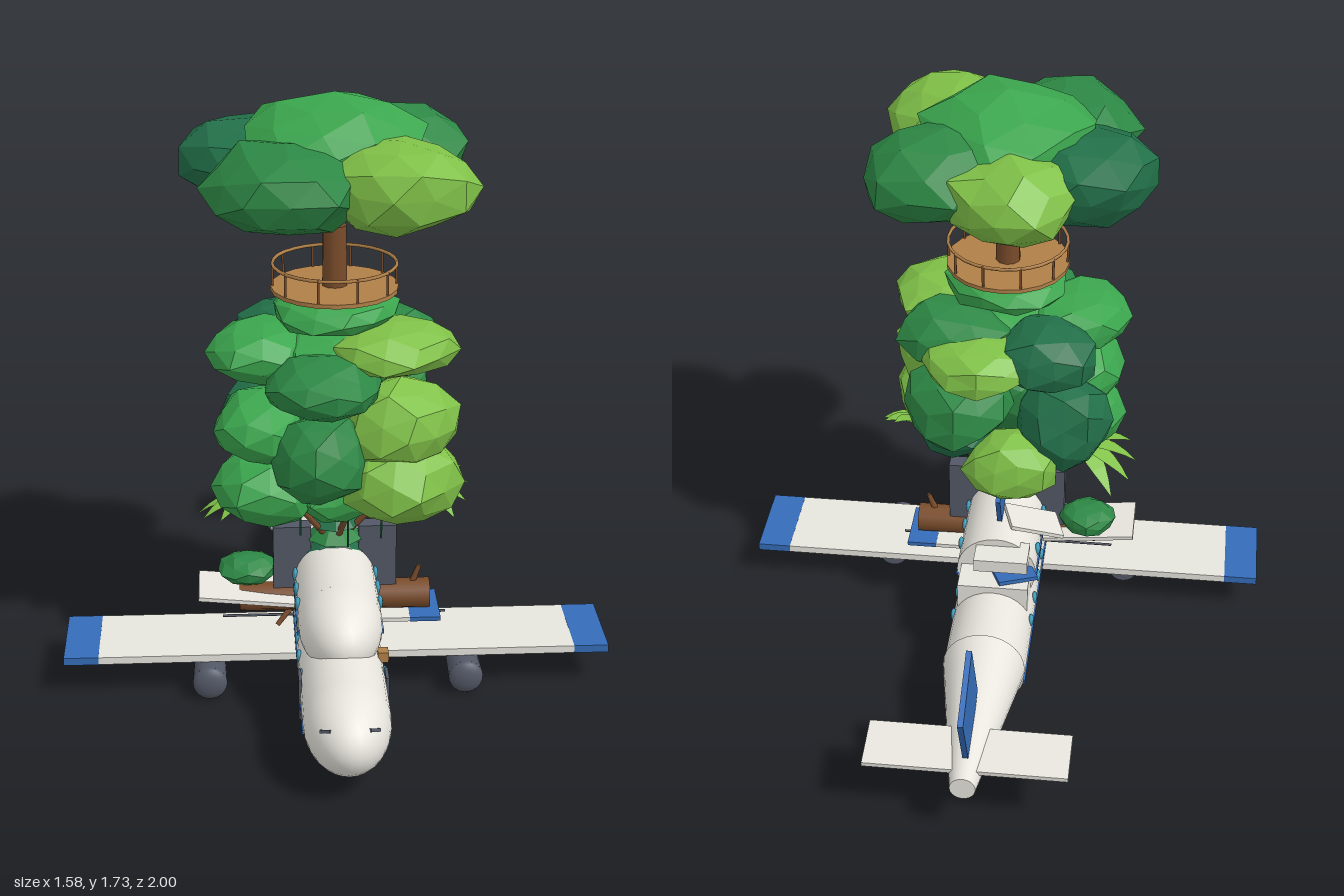
import * as THREE from 'three';

const mat = (name, color, opts = {}) => {
  const m = new THREE.MeshStandardMaterial({ color, ...opts });
  m.name = name;
  return m;
};

export function createModel() {
  const root = new THREE.Group();
  root.name = 'treehousePlane';
  const M = {
    hull: mat('hullWhite', 0xe8e6de, { side: THREE.DoubleSide }),
    blue: mat('liveryBlue', 0x356cb8),
    dark: mat('darkMetal', 0x535866),
    glass: mat('windowTeal', 0x3d9ab8),
    wood: mat('barkBrown', 0x7a4c2b),
    plank: mat('plankTan', 0xb07f48),
    light: mat('leafLight', 0x80c148, { flatShading: true, side: THREE.DoubleSide }),
    mid: mat('leafMid', 0x3ba64e, { flatShading: true }),
    green: mat('leafDark', 0x2d8845, { flatShading: true }),
    deep: mat('leafDeep', 0x227049, { flatShading: true }),
  };
  const add = (name, geo, material, pos = [0, 0, 0], rot = [0, 0, 0], scale = [1, 1, 1]) => {
    const m = new THREE.Mesh(geo, material);
    m.name = name;
    m.position.set(...pos);
    m.rotation.set(...rot);
    m.scale.set(...scale);
    root.add(m);
    return m;
  };
  const box = (name, size, material, pos, rot) => add(name, new THREE.BoxGeometry(...size), material, pos, rot);
  // Cylinder between two points
  const rod = (name, a, b, r0, r1, material, sides = 8, open = false) => {
    const A = new THREE.Vector3(...a), B = new THREE.Vector3(...b), d = B.clone().sub(A);
    const m = add(name, new THREE.CylinderGeometry(r1, r0, d.length(), sides, 1, open), material);
    m.position.copy(A).add(B).multiplyScalar(0.5);
    m.quaternion.setFromUnitVectors(new THREE.Vector3(0, 1, 0), d.normalize());
    return m;
  };
  const half = Math.PI / 2;

  // Fuselage, nose and tail cone
  rod('fuselage', [0, 0.16, -0.47], [0, 0.16, 0.8], 0.12, 0.12, M.hull, 28, true);
  add('nose', new THREE.SphereGeometry(1, 28, 18), M.hull, [0, 0.16, 0.8], [0, 0, 0], [0.12, 0.12, 0.2]);
  rod('tailCone', [0, 0.18, -0.47], [0, 0.18, -0.97], 0.12, 0.036, M.hull, 28);

  // Upper deck: straight body with a rounded front, sunk into the fuselage
  rod('upperDeck', [0, 0.28, -0.15], [0, 0.28, 0.47], 0.119, 0.119, M.hull, 28);
  add('upperDeckFront', new THREE.SphereGeometry(1, 28, 18), M.hull, [0, 0.28, 0.47], [0, 0, 0], [0.119, 0.119, 0.2]);
  box('deckRear', [0.21, 0.08, 0.15], M.hull, [0, 0.26, -0.18]);

  // Wings with painted tips, engines, side fittings
  for (const s of [1, -1]) {
    box('wing', [0.61, 0.022, 0.26], M.hull, [s * 0.385, 0.115, 0.22]);
    box('wingTip', [0.1, 0.023, 0.261], M.blue, [s * 0.74, 0.115, 0.22]);
    rod('engine', [s * 0.37, 0.06, 0.17], [s * 0.37, 0.055, 0.385], 0.043, 0.05, M.dark, 20);
    add('engineFront', new THREE.SphereGeometry(0.05, 20, 12), M.dark, [s * 0.37, 0.055, 0.385], [0, 0, 0], [1, 1, 0.5]);
    box('lowerStripe', [0.006, 0.012, 1.27], M.blue, [s * 0.118, 0.13, 0.165]);
    box('upperStripe', [0.008, 0.012, 0.64], M.blue, [s * 0.118, 0.263, 0.17]);
    box('door', [0.009, 0.12, 0.065], M.dark, [s * 0.12, 0.15, 0.63]);
    for (let i = 0; i < 9; i++)
      add('lowerWindow', new THREE.SphereGeometry(0.018, 12, 8), M.glass, [s * 0.117, 0.19, 0.59 - i * 0.106], [0, 0, 0], [0.45, 1, 1]);
    for (let i = 0; i < 6; i++)
      add('upperWindow', new THREE.SphereGeometry(0.019, 12, 8), M.glass, [s * 0.117, 0.31, 0.4 - i * 0.093], [0, 0, 0], [0.45, 1.1, 0.95]);
    box('cockpitWindow', [0.035, 0.009, 0.008], M.dark, [s * 0.065, 0.214, 0.94], [-0.5, s * 0.75, 0]);
    box('bellySlot', [0.008, 0.008, 0.3], M.dark, [s * 0.05, 0.05, 0.2]);
  }
  box('sideCrate', [0.03, 0.03, 0.035], M.plank, [0.115, 0.222, 0.55]);

  // Tail surfaces
  box('tailplane', [0.57, 0.014, 0.155], M.hull, [0, 0.208, -0.85], [-0.1, 0, 0]);
  box('tailFin', [0.016, 0.27, 0.22], M.blue, [0, 0.355, -0.838], [-0.44, 0, 0]);
  box('spareFin', [0.014, 0.15, 0.17], M.blue, [0, 0.475, 0], [-0.44, 0, 0]);

  // Salvaged panels leaning on the hull
  for (const s of [1, -1]) box('darkPanel', [0.11, 0.25, 0.05], M.dark, [s * 0.125, 0.325, 0.165]);
  box('sidePanel', [0.28, 0.012, 0.18], M.hull, [-0.26, 0.245, 0.17], [0, 0, -0.1]);
  box('stepPanel', [0.14, 0.012, 0.18], M.hull, [0.15, 0.178, 0.17]);
  box('stepPanelTip', [0.09, 0.013, 0.181], M.blue, [0.262, 0.178, 0.17]);
  box('roofPanel', [0.16, 0.04, 0.1], M.hull, [-0.02, 0.355, -0.175]);
  box('roofPanel', [0.17, 0.012, 0.12], M.hull, [-0.1, 0.38, -0.02], [0, 0.3, 0.35]);
  box('bluePanel', [0.12, 0.012, 0.08], M.blue, [-0.06, 0.305, -0.19], [0.1, 0.4, 0]);
  rod('crossRod', [-0.33, 0.158, 0.17], [0.33, 0.158, 0.17], 0.004, 0.004, M.dark, 6);

  // Fallen log with twigs
  rod('log', [-0.28, 0.22, 0.17], [0.28, 0.22, 0.17], 0.042, 0.046, M.wood, 10);
  rod('logTwig', [0.22, 0.23, 0.17], [0.25, 0.31, 0.17], 0.012, 0.007, M.wood, 6);
  rod('logTwig', [-0.1, 0.22, 0.17], [-0.17, 0.14, 0.2], 0.012, 0.008, M.wood, 6);

  // Trunk, low branches and hanging vines
  rod('trunk', [0, 0.36, 0.17], [0, 1.36, 0.17], 0.045, 0.034, M.wood, 10);
  for (let i = 0; i < 6; i++) {
    const a = (i / 6) * Math.PI * 2 + 0.3, c = Math.cos(a), s = Math.sin(a);
    rod('branch', [c * 0.03, 0.42, 0.17 + s * 0.03], [c * 0.17, 0.58, 0.17 + s * 0.17], 0.01, 0.007, M.wood, 6);
    rod('vine', [c * 0.14, 0.42 + 0.02 * (i % 3), 0.17 + s * 0.14], [c * 0.14, 0.6, 0.17 + s * 0.14], 0.003, 0.003, M.deep, 4);
  }
  for (let i = 0; i < 3; i++)
    add('trunkLeaves', new THREE.ConeGeometry(0.09 - i * 0.008, 0.085, 8), i === 1 ? M.green : M.deep, [0, 0.41 + i * 0.045, 0.17], [0, i * 0.4, 0]);

  // Lookout platform with railing
  add('platform', new THREE.CylinderGeometry(0.18, 0.18, 0.012, 20), M.plank, [0, 1.18, 0.17]);
  add('railing', new THREE.TorusGeometry(0.174, 0.005, 6, 28), M.plank, [0, 1.25, 0.17], [half, 0, 0]);
  for (let i = 0; i < 10; i++) {
    const a = (i / 10) * Math.PI * 2;
    add('railPost', new THREE.CylinderGeometry(0.004, 0.004, 0.07, 6), M.wood, [Math.cos(a) * 0.174, 1.218, 0.17 + Math.sin(a) * 0.174]);
  }

  // Faceted foliage clump: an icosphere with each vertex nudged in or out
  const clump = (name, pos, size, material, seed) => {
    const g = new THREE.IcosahedronGeometry(1, 1), p = g.attributes.position, v = new THREE.Vector3();
    for (let i = 0; i < p.count; i++) {
      v.fromBufferAttribute(p, i);
      const h = Math.sin(Math.round(v.x * 50) * 12.9 + Math.round(v.y * 50) * 78.2 + Math.round(v.z * 50) * 37.7 + seed * 5.3) * 43758.5;
      v.multiplyScalar(0.92 + 0.2 * (h - Math.floor(h)));
      p.setXYZ(i, v.x, v.y, v.z);
    }
    g.computeVertexNormals();
    add(name, g, material, pos, [0, seed * 0.2, 0], size);
  };
  const { light, mid, green, deep } = M;
  // [x, y, z, rx, ry, rz, colour]
  const tiers = {
    crown: [
      [0, 1.6, 0.16, 0.245, 0.12, 0.245, mid], [-0.22, 1.53, 0.07, 0.2, 0.12, 0.2, deep],
      [0.165, 1.53, 0.37, 0.195, 0.125, 0.205, light], [-0.14, 1.525, 0.36, 0.225, 0.12, 0.215, green],
      [0.16, 1.53, 0.03, 0.2, 0.125, 0.23, green], [-0.03, 1.525, -0.06, 0.19, 0.115, 0.19, light],
      [0, 1.51, 0.17, 0.24, 0.1, 0.24, green],
    ],
    upperCanopy: [
      [0, 1.115, 0.17, 0.175, 0.062, 0.175, mid], [0.165, 1.025, 0.25, 0.16, 0.075, 0.185, light],
      [-0.2, 1.0, 0.18, 0.15, 0.08, 0.17, mid], [-0.04, 0.955, 0.36, 0.155, 0.08, 0.165, green],
      [0.13, 0.985, 0.07, 0.18, 0.1, 0.15, green], [0.06, 0.965, -0.05, 0.17, 0.075, 0.145, light],
      [-0.13, 0.98, -0.01, 0.15, 0.1, 0.15, deep], [0, 0.98, 0.17, 0.2, 0.1, 0.2, mid],
    ],
    lowerCanopy: [
      [0.18, 0.81, 0.28, 0.155, 0.13, 0.165, light], [0.185, 0.645, 0.3, 0.155, 0.13, 0.175, light],
      [-0.185, 0.615, 0.24, 0.155, 0.105, 0.175, mid], [-0.2, 0.79, 0.22, 0.135, 0.1, 0.17, mid],
      [-0.05, 0.74, 0.36, 0.135, 0.13, 0.125, green], [0.13, 0.8, -0.02, 0.16, 0.12, 0.165, green],
      [-0.04, 0.63, -0.08, 0.14, 0.11, 0.11, light], [0.14, 0.67, 0.05, 0.12, 0.09, 0.12, deep],
      [-0.18, 0.74, 0.01, 0.14, 0.14, 0.14, deep], [0, 0.78, 0.17, 0.17, 0.16, 0.18, green],
      [-0.01, 0.59, 0.25, 0.12, 0.08, 0.12, mid],
    ],
  };
  for (const [name, list] of Object.entries(tiers))
    list.forEach(([x, y, z, rx, ry, rz, m], i) => clump(name, [x, y, z], [rx, ry, rz], m, i + name.length));
  clump('wingBush', [-0.255, 0.295, 0.13], [0.085, 0.047, 0.08], green, 3);

  // Fern fronds: tapered, drooping strips in two clusters
  const frond = (pos, yaw, len, rise) => {
    const g = new THREE.PlaneGeometry(1, 1, 1, 5), p = g.attributes.position;
    for (let i = 0; i < p.count; i++) {
      const t = p.getY(i) + 0.5, w = p.getX(i) * 0.06 * Math.sin(Math.PI * (0.2 + 0.8 * t));
      p.setXYZ(i, t * len, rise * t - 0.1 * t * t, w);
    }
    g.computeVertexNormals();
    add('fernFrond', g, light, pos, [0, yaw, 0]);
  };
  for (let i = 0; i < 5; i++) {
    const spread = (i - 2) * 0.45;
    frond([0.25, 0.56, 0.19], spread, 0.14, 0.06 + 0.03 * i);
    frond([-0.22, 0.55, 0.17], Math.PI + spread, 0.18, 0.02 * i);
  }

  return root;
}
